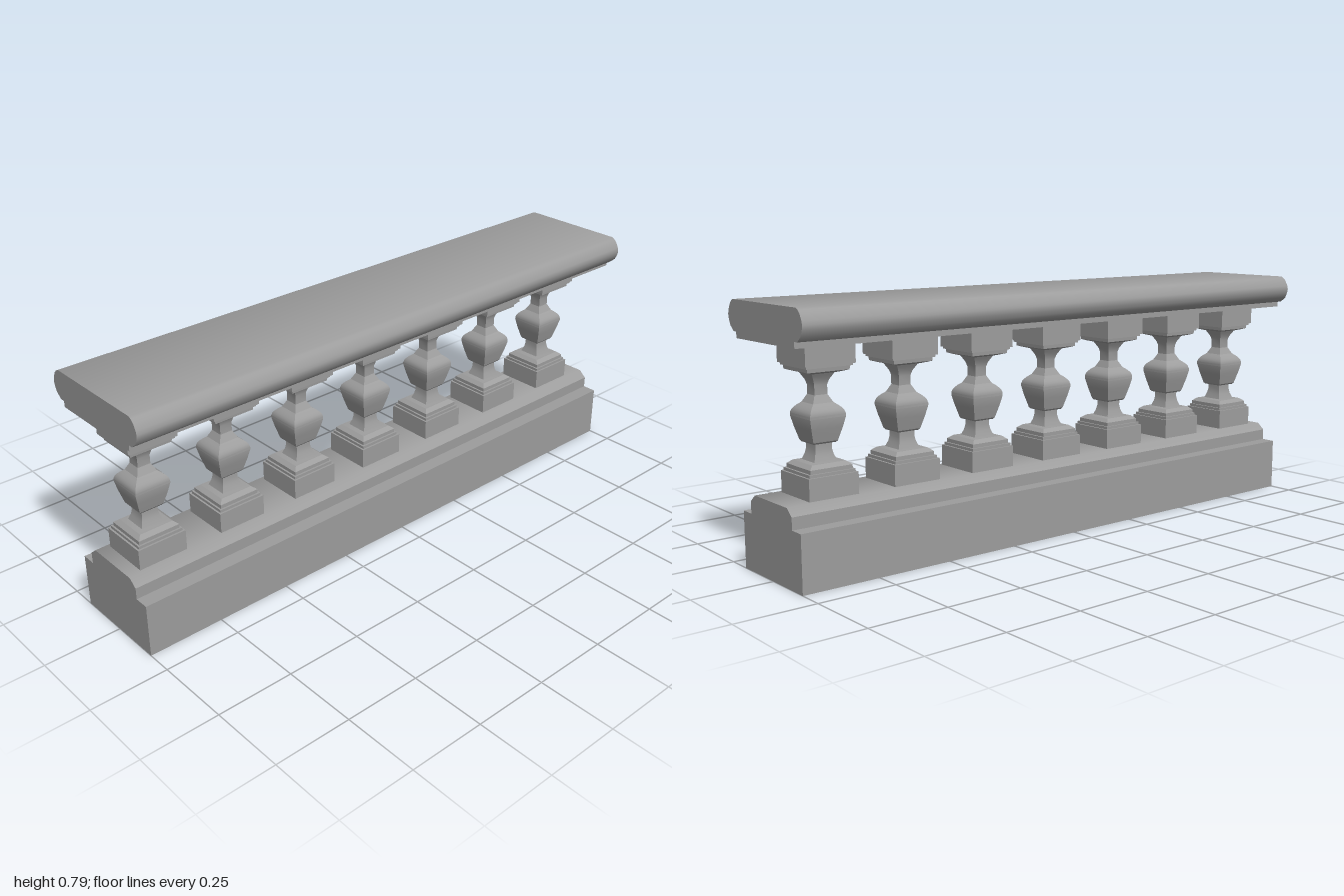
import * as THREE from 'three';
import { toCreasedNormals } from 'three/addons/utils/BufferGeometryUtils.js';

const material = new THREE.MeshStandardMaterial({ color: 0x9d9d9d });

// Symmetric moulding: [half depth, y] pairs from bottom to top, run along x.
function moulding(name, half) {
  const left = half.map(([z, y]) => new THREE.Vector2(-z, y)).reverse();
  const shape = new THREE.Shape([...half.map(([z, y]) => new THREE.Vector2(z, y)), ...left]);
  const geometry = new THREE.ExtrudeGeometry(shape, { depth: 2, bevelEnabled: false });
  geometry.translate(0, 0, -1).rotateY(Math.PI / 2);
  const mesh = new THREE.Mesh(toCreasedNormals(geometry, 0.75), material);
  mesh.name = name;
  return mesh;
}

// Square baluster: [half width, y] pairs turned with four sides.
function balusterGeometry() {
  const profile = [
    // lower block and stepped foot
    [0.081, 0.234], [0.081, 0.3], [0.075, 0.3], [0.075, 0.309], [0.069, 0.309],
    [0.069, 0.321], [0.063, 0.326], [0.055, 0.332], [0.037, 0.334],
    // lower neck
    [0.03, 0.352], [0.027, 0.367], [0.027, 0.384], [0.036, 0.386],
    // belly
    [0.04, 0.391], [0.051, 0.431], [0.058, 0.462], [0.058, 0.47], [0.055, 0.48],
    [0.05, 0.487], [0.043, 0.494], [0.033, 0.502],
    // upper neck
    [0.021, 0.525], [0.021, 0.553], [0.025, 0.567], [0.034, 0.583],
    // stepped head and upper block
    [0.037, 0.588], [0.056, 0.593], [0.068, 0.597], [0.069, 0.609], [0.075, 0.609],
    [0.075, 0.616], [0.081, 0.616], [0.081, 0.682],
  ].map(([w, y]) => new THREE.Vector2(w * Math.SQRT2, y));
  return toCreasedNormals(new THREE.LatheGeometry(profile, 4, Math.PI / 4), 0.4);
}

export function createModel() {
  const group = new THREE.Group();
  group.name = 'balustrade';

  // Stepped plinth
  group.add(moulding('plinth', [
    [0.168, 0], [0.168, 0.175], [0.12, 0.175], [0.12, 0.212], [0.094, 0.234],
  ]));

  // Row of balusters, slightly off centre
  const geometry = balusterGeometry();
  for (let i = 0; i < 7; i++) {
    const baluster = new THREE.Mesh(geometry, material);
    baluster.name = `baluster${i + 1}`;
    baluster.position.x = -0.018 + (i - 3) * 0.286;
    group.add(baluster);
  }

  // Handrail with rounded edges and a thin under-strip
  group.add(moulding('handrail', [
    [0.168, 0.682], [0.168, 0.701], [0.184, 0.701], [0.203, 0.717], [0.211, 0.735],
    [0.214, 0.748], [0.211, 0.76], [0.202, 0.778], [0.192, 0.788], [0.182, 0.793],
  ]));
  return group;
}
